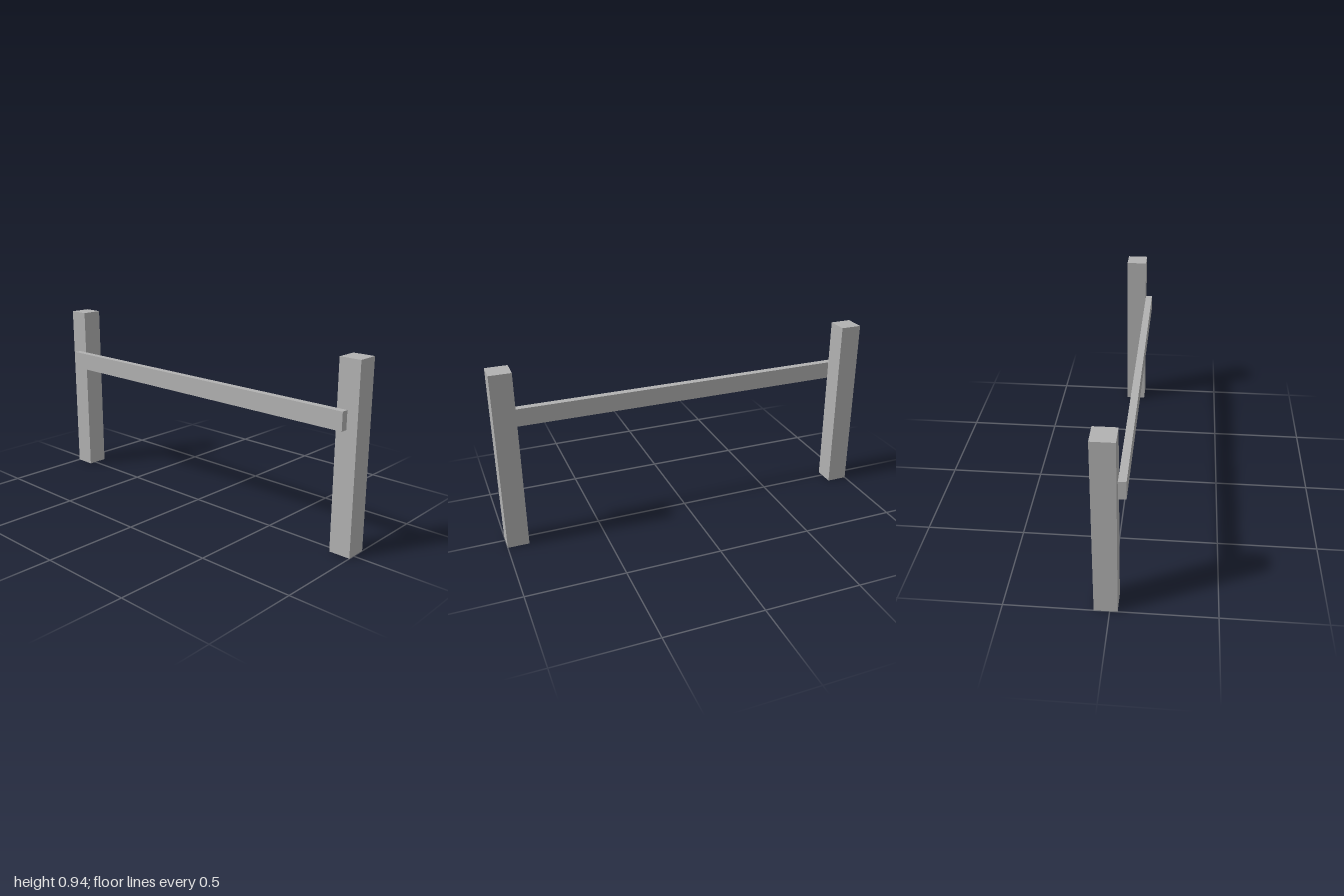
import * as THREE from 'three';

export function createModel() {
  const model = new THREE.Group();
  model.name = 'railFence';

  const grey = new THREE.MeshStandardMaterial({ color: 0xb2b2b2 });
  grey.name = 'grey';

  const addBox = (name, size, position) => {
    const mesh = new THREE.Mesh(new THREE.BoxGeometry(...size), grey);
    mesh.name = name;
    mesh.position.set(...position);
    model.add(mesh);
  };

  // Square upright posts, mirrored left and right
  const postWidth = 0.111, postHeight = 0.943;
  for (const [name, side] of [['leftPost', 1], ['rightPost', -1]]) {
    addBox(name, [postWidth, postHeight, postWidth],
      [side * (1 - postWidth / 2), postHeight / 2, -0.0185]);
  }

  // Crossbar fixed to the front of the posts, ending at their centre lines
  addBox('crossbar', [1.889, 0.093, 0.037], [0, 0.6615, 0.0555]);

  return model;
}
